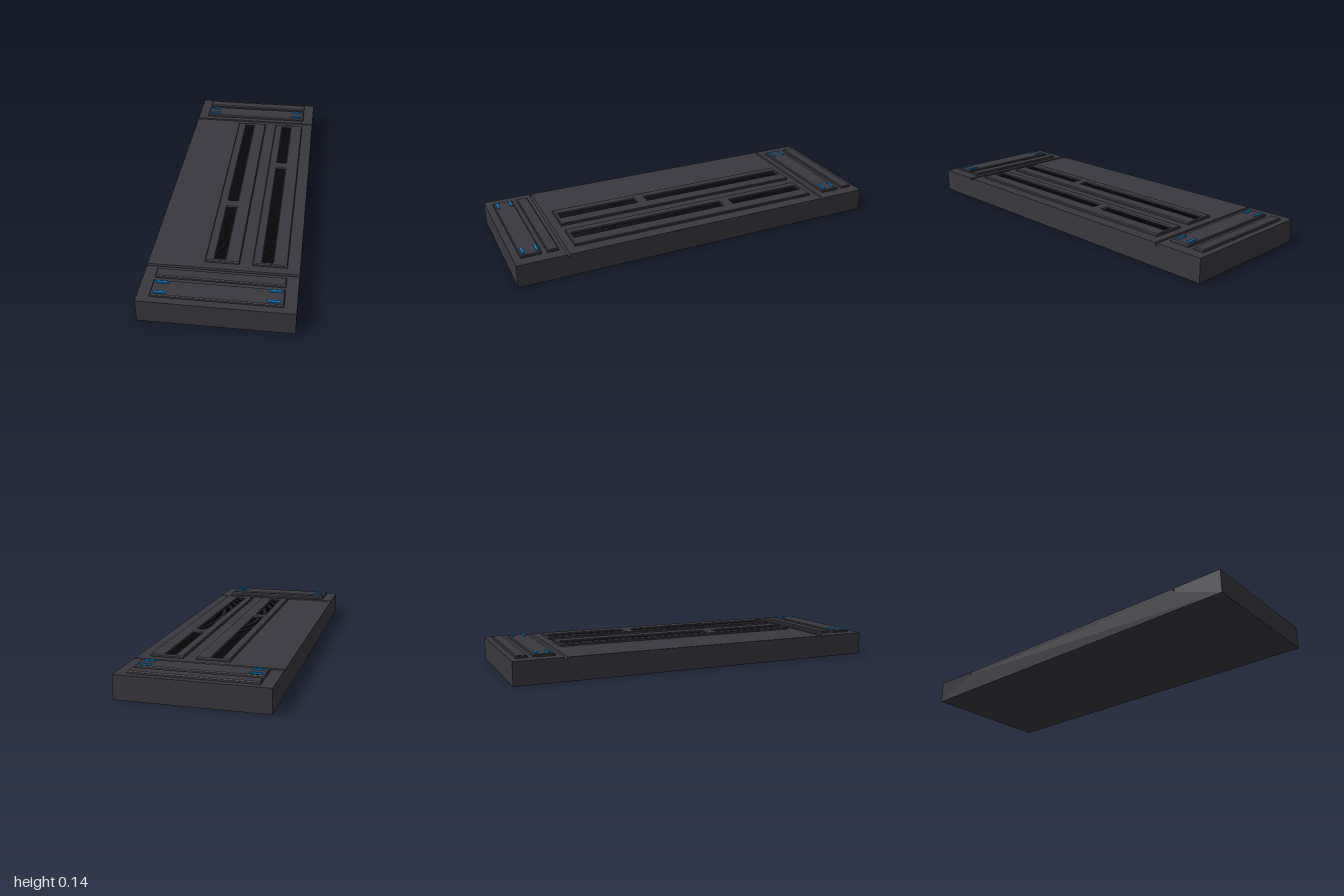
import * as THREE from 'three';

const dark = new THREE.MeshStandardMaterial({ color: 0x38383e });
const black = new THREE.MeshStandardMaterial({ color: 0x1c1c1f });
const blue = new THREE.MeshStandardMaterial({ color: 0x0a7fd0 });
const TOP = 0.121, PLATE_TOP = 0.134;

function add(parent, name, geometry, material) {
  const mesh = new THREE.Mesh(geometry, material);
  mesh.name = name;
  parent.add(mesh);
  return mesh;
}

// rectangle in plan, inset by d on every side
function rect(Type, x0, x1, z0, z1, d = 0) {
  return new Type([
    new THREE.Vector2(x0 + d, -z1 + d), new THREE.Vector2(x1 - d, -z1 + d),
    new THREE.Vector2(x1 - d, -z0 - d), new THREE.Vector2(x0 + d, -z0 - d),
  ]);
}

// raised plate with a chamfered rim and optional slots
function plate(parent, name, x0, x1, z0, z1, slots = []) {
  const bevel = 0.004;
  const shape = rect(THREE.Shape, x0, x1, z0, z1, bevel);
  shape.holes = slots.map(s => rect(THREE.Path, ...s, -bevel / 2));
  const geometry = new THREE.ExtrudeGeometry(shape, {
    depth: PLATE_TOP - TOP - bevel, bevelEnabled: true,
    bevelThickness: bevel, bevelSize: bevel, bevelSegments: 1,
  });
  geometry.rotateX(-Math.PI / 2);
  add(parent, name, geometry, dark).position.y = TOP;
}

// row of thin contact ribs across a slot
function contacts(parent, [x0, x1, z0, z1]) {
  const group = new THREE.Group();
  group.name = 'slotContacts';
  const n = Math.round((z1 - z0) / 0.0125), pitch = (z1 - z0) / n;
  const rib = new THREE.BoxGeometry(x1 - x0, 0.006, pitch * 0.5);
  for (let i = 0; i < n; i++) {
    add(group, 'contactRib', rib, black)
      .position.set((x0 + x1) / 2, TOP + 0.003, z0 + (i + 0.5) * pitch);
  }
  parent.add(group);
}

export function createModel() {
  const model = new THREE.Group();
  model.name = 'slottedBoard';

  // body: side profile with two V grooves across the top, extruded over the width
  const profile = new THREE.Shape();
  profile.moveTo(-1, 0);
  profile.lineTo(1, 0);
  profile.lineTo(1, TOP);
  for (const g of [0.74, -0.74]) {
    profile.lineTo(g + 0.007, TOP);
    profile.lineTo(g, TOP - 0.018);
    profile.lineTo(g - 0.007, TOP);
  }
  profile.lineTo(-1, TOP);
  profile.closePath();
  const body = new THREE.ExtrudeGeometry(profile, { depth: 0.74, bevelEnabled: false });
  body.translate(0, 0, -0.37).rotateY(-Math.PI / 2);
  add(model, 'body', body, dark);

  // two long panels, each with a long and a short slot
  const panels = [
    { x0: -0.095, x1: 0.075, sx: -0.023, slots: [[-0.675, 0.175], [0.23, 0.672]] },
    { x0: 0.138, x1: 0.308, sx: 0.21, slots: [[-0.675, -0.24], [-0.183, 0.672]] },
  ];
  for (const p of panels) {
    const slots = p.slots.map(([a, b]) => [p.sx - 0.028, p.sx + 0.028, a, b]);
    plate(model, 'slotPanel', p.x0, p.x1, -0.693, 0.69, slots);
    slots.forEach(s => contacts(model, s));
  }

  // end plates: a narrow and a wide one at each end, the wide one with blue marks
  const ends = [
    { narrow: [-0.97, -0.912], wide: [-0.884, -0.778], marks: [-0.864, -0.803] },
    { narrow: [0.772, 0.83], wide: [0.857, 0.963], marks: [0.875, 0.945] },
  ];
  const mark = new THREE.BoxGeometry(0.06, 0.007, 0.012);
  for (const e of ends) {
    plate(model, 'narrowEndPlate', -0.31, 0.31, ...e.narrow);
    plate(model, 'wideEndPlate', -0.31, 0.31, ...e.wide);
    for (const z of e.marks) for (const side of [-1, 1]) {
      add(model, 'blueMark', mark, blue).position.set(side * 0.264, PLATE_TOP + 0.003, z);
    }
  }
  return model;
}
